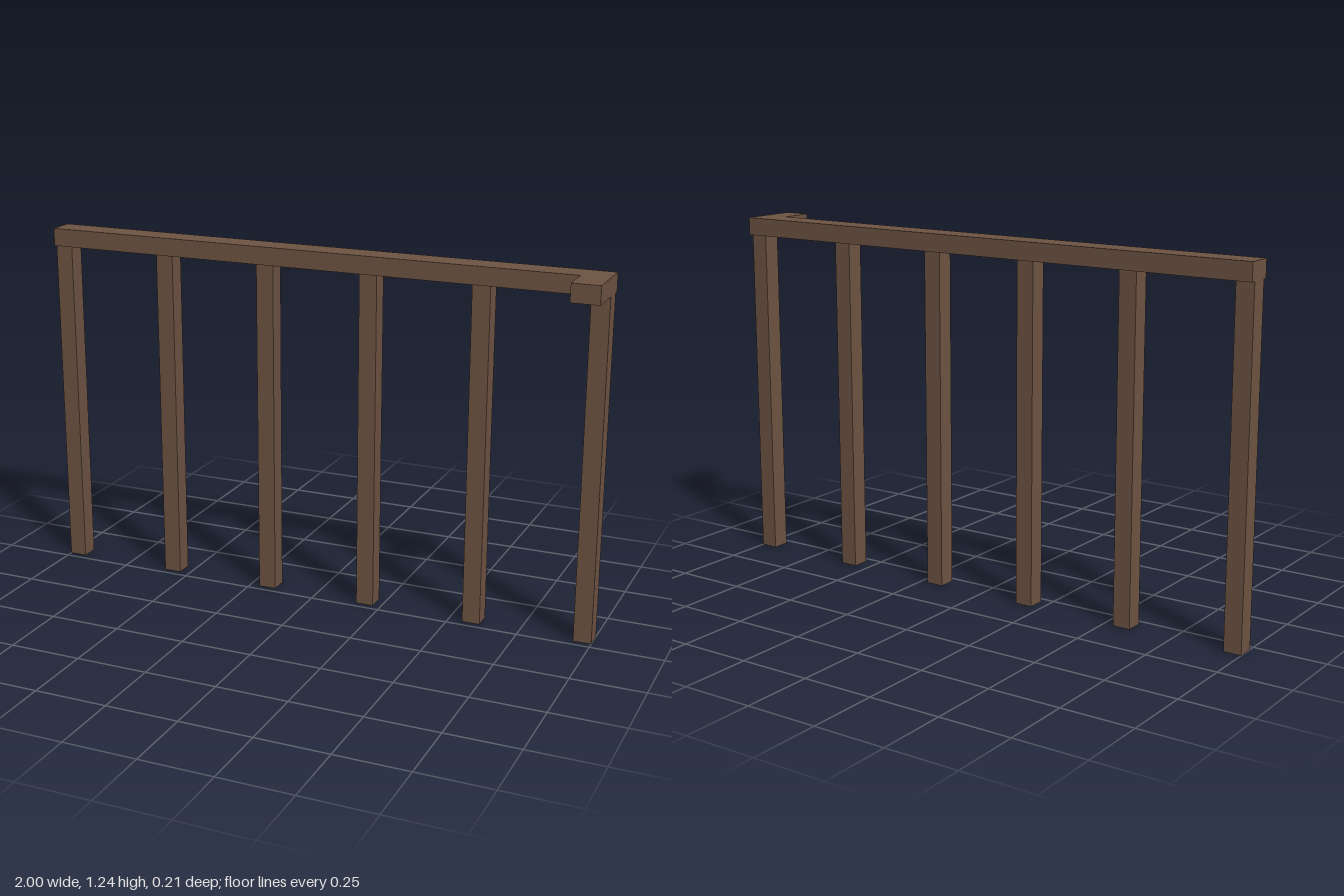
import * as THREE from 'three';

export function createModel() {
  const group = new THREE.Group();
  group.name = 'railing';
  const wood = new THREE.MeshStandardMaterial({ color: 0x6e5443 });
  wood.name = 'brown wood';

  const railTop = 1.24, railThickness = 0.062, postHeight = railTop - railThickness;

  // Handrail: L-shaped plan (x, z) with a short return at the left end
  const plan = new THREE.Shape([
    [-1, -0.104], [1, -0.104], [1, 0.104], [0.905, 0.104], [0.905, -0.011], [-1, -0.011],
  ].map(([x, z]) => new THREE.Vector2(x, z)));
  const railGeometry = new THREE.ExtrudeGeometry(plan, { depth: railThickness, bevelEnabled: false });
  railGeometry.rotateX(Math.PI / 2);
  const handrail = new THREE.Mesh(railGeometry, wood);
  handrail.name = 'handrail';
  handrail.position.y = railTop;
  group.add(handrail);

  // Square posts under the rail
  const postGeometry = new THREE.BoxGeometry(0.062, postHeight, 0.062);
  [-0.969, -0.567, -0.184, 0.191, 0.581, 0.969].forEach((x, i) => {
    const post = new THREE.Mesh(postGeometry, wood);
    post.name = `post${i + 1}`;
    post.position.set(x, postHeight / 2, -0.056);
    group.add(post);
  });

  return group;
}
